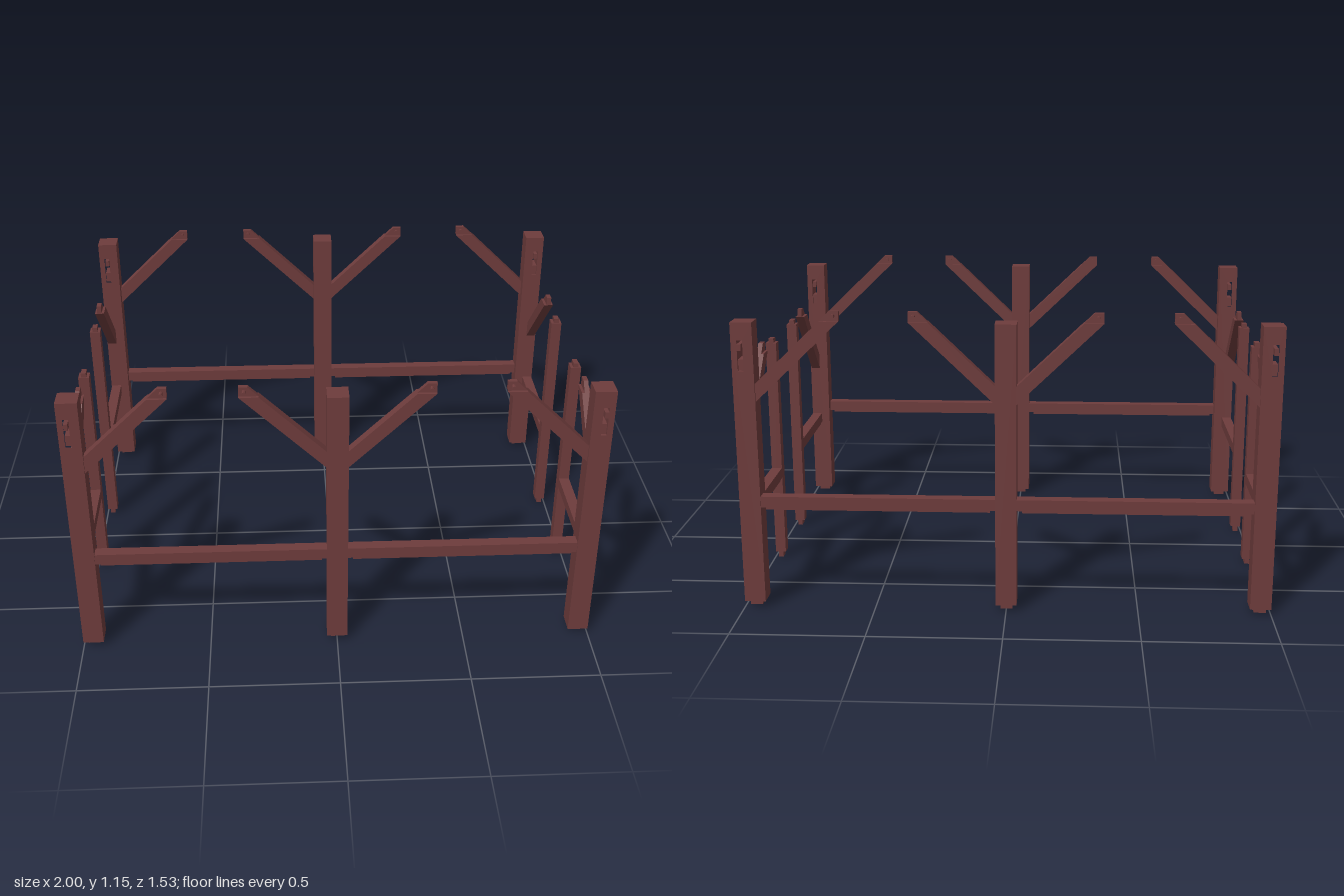
import * as THREE from 'three';

const wood = new THREE.MeshStandardMaterial({ color: 0x6e3c3c, flatShading: true });

export function createModel() {
  const model = new THREE.Group();

  const add = (parent, name, geometry) => {
    const mesh = new THREE.Mesh(geometry, wood);
    mesh.name = name;
    parent.add(mesh);
    return mesh;
  };

  // Box given by its two extreme corners on each axis
  const box = (parent, name, [x0, x1], [y0, y1], [z0, z1]) => {
    const g = new THREE.BoxGeometry(Math.abs(x1 - x0), y1 - y0, Math.abs(z1 - z0));
    g.translate((x0 + x1) / 2, (y0 + y1) / 2, (z0 + z1) / 2);
    return add(parent, name, g);
  };

  // Outline in (u, y) given thickness around w; u runs along x, or along z when alongZ
  const prism = (parent, name, pts, w, thick, alongZ = false, hole = null) => {
    const toV = (p) => new THREE.Vector2(p[0], p[1]);
    const shape = new THREE.Shape(pts.map(toV));
    if (hole) shape.holes.push(new THREE.Path(hole.map(toV)));
    const g = new THREE.ExtrudeGeometry(shape, { depth: thick, bevelEnabled: false });
    g.translate(0, 0, -thick / 2);
    if (alongZ) g.rotateY(-Math.PI / 2).translate(w, 0, 0);
    else g.translate(0, 0, w);
    return add(parent, name, g);
  };

  const rect = (u0, u1, y0, y1) => [[u0, y0], [u1, y0], [u1, y1], [u0, y1]];

  // Diagonal brace leaving a post face at u0 in direction dir, cut level at the shoulder, with a tenon
  const brace = (parent, name, u0, dir, low, shoulder, tip, w, alongZ) => {
    const high = low + 0.069;
    const run = 0.314;
    const P = (d, y) => [u0 + dir * d, y];
    const slope = (shoulder - low) / run;
    prism(parent, name, [P(0, low), P(run, shoulder), P((shoulder - high) / slope, shoulder), P(0, high)],
      w, 0.038, alongZ);
    prism(parent, name + 'Tenon', [P((shoulder - high) / slope, shoulder), P(run, shoulder),
      P(run, tip), P((tip - high) / slope, tip)], w, 0.018, alongZ);
  };

  // Peg lying along z
  const peg = (parent, name, x, y, z0, z1, r) => {
    const g = new THREE.CylinderGeometry(r, r, Math.abs(z1 - z0), 8);
    g.rotateX(Math.PI / 2).translate(x, y, (z0 + z1) / 2);
    add(parent, name, g);
  };

  for (const sz of [1, -1]) {
    const long = new THREE.Group();
    long.name = sz > 0 ? 'frontWall' : 'backWall';
    model.add(long);
    const braceZ = sz * 0.724;

    // Middle post with foot tenon
    box(long, 'middlePost', [-0.04, 0.04], [0.023, 1.106], [sz * 0.67, sz * 0.75]);
    box(long, 'middlePostFoot', [-0.023, 0.023], [0, 0.023], [sz * 0.701, sz * 0.724]);

    for (const sx of [1, -1]) {
      // Corner post with a through mortise near the top
      prism(long, 'cornerPost', rect(sx * 0.92, sx, 0.023, 1.106), sz * 0.71, 0.08, false,
        rect(sx * 0.957, sx * 0.978, 0.925, 1.04));
      box(long, 'cornerPostFoot', [sx * 0.938, sx * 0.984], [0, 0.023], [sz * 0.701, sz * 0.724]);
      box(long, 'mortiseBlock', [sx * 0.957, sx * 0.978], [0.925, 0.967], [sz * 0.68, sz * 0.74]);
      box(long, 'mortiseKey', [sx * 0.96, sx * 0.975], [1.003, 1.028], [sz * 0.67, sz * 0.763]);

      // Long rail with a lip below that stops short of the posts
      box(long, 'longRail', [sx * 0.04, sx * 0.92], [0.4, 0.443], [sz * 0.702, sz * 0.746]);
      box(long, 'longRailLip', [sx * 0.06, sx * 0.902], [0.391, 0.4], [sz * 0.706, sz * 0.742]);

      // Long side braces and the pegs through their tenons
      brace(long, 'middleBrace', sx * 0.04, sx, 0.808, 1.11, 1.147, braceZ);
      brace(long, 'cornerBrace', sx * 0.92, -sx, 0.808, 1.11, 1.147, braceZ);
      for (const x of [0.334, 0.626]) peg(long, 'bracePeg', sx * x, 1.13, sz * 0.705, sz * 0.752, 0.007);

      // Short side: door post, rail and brace
      const side = new THREE.Group();
      side.name = (sz > 0 ? 'front' : 'back') + (sx > 0 ? 'Left' : 'Right') + 'Side';
      model.add(side);
      box(side, 'doorPost', [sx * 0.956, sx * 0.998], [0.023, 0.92], [sz * 0.177, sz * 0.222]);
      for (const [y0, y1] of [[0, 0.023], [0.92, 0.938]])
        box(side, 'doorPostTenon', [sx * 0.967, sx * 0.987], [y0, y1], [sz * 0.181, sz * 0.218]);
      box(side, 'shortRail', [sx * 0.956, sx * 0.998], [0.351, 0.393], [sz * 0.222, sz * 0.67]);
      box(side, 'shortRailLip', [sx * 0.96, sx * 0.994], [0.342, 0.351], [sz * 0.24, sz * 0.655]);
      brace(side, 'sideBrace', sz * 0.67, -sz, 0.614, 0.92, 0.955, sx * 0.977, true);
    }
  }

  return model;
}
